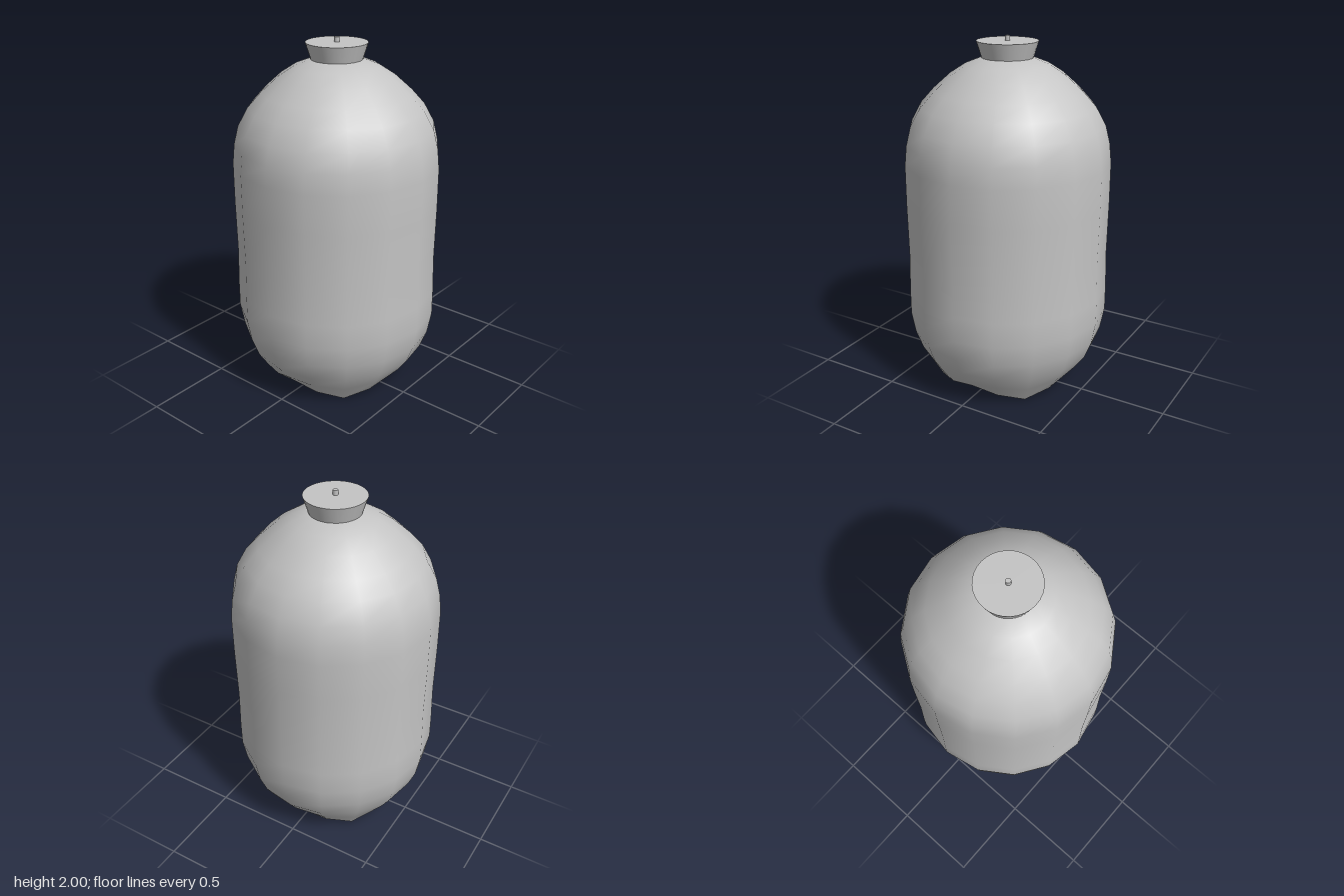
import * as THREE from 'three';

const SIDES = 16;

// Stacks 16-sided rings [radius, height, lobe]; lobe drops the four diagonal feet and lifts the arches between.
function ringSurface(rings) {
  const positions = [], index = [];
  for (const [r, y, lobe = 0] of rings) {
    for (let i = 0; i < SIDES; i++) {
      const a = (i / SIDES) * Math.PI * 2;
      positions.push(r * Math.cos(a), y + lobe * Math.cos(4 * a), r * Math.sin(a));
    }
  }
  for (let j = 0; j < rings.length - 1; j++) {
    for (let i = 0; i < SIDES; i++) {
      const n = (i + 1) % SIDES;
      const a = j * SIDES + i, b = j * SIDES + n;
      const up = a + SIDES, upNext = b + SIDES;
      index.push(a, up, b, b, up, upNext);
    }
  }
  const g = new THREE.BufferGeometry();
  g.setAttribute('position', new THREE.Float32BufferAttribute(positions, 3));
  g.setIndex(index);
  g.computeVertexNormals();
  return g;
}

export function createModel() {
  const model = new THREE.Group();
  const grey = new THREE.MeshStandardMaterial({ color: 0xc4c4c4 });
  grey.name = 'plain grey';

  const add = (name, geometry, y = 0) => {
    const mesh = new THREE.Mesh(geometry, grey);
    mesh.name = name;
    mesh.position.y = y;
    model.add(mesh);
  };

  const rim = [0.395, 0.045, 0.032];

  // Rounded body from the arched rim up to the neck
  add('body', ringSurface([
    rim,
    [0.455, 0.125, 0.012],
    [0.51, 0.21, 0.004],
    [0.55, 0.315],
    [0.573, 0.44],
    [0.573, 0.58],
    [0.568, 0.8],
    [0.573, 1.1],
    [0.573, 1.32],
    [0.562, 1.43],
    [0.537, 1.53],
    [0.482, 1.63],
    [0.41, 1.71],
    [0.315, 1.795],
    [0.23, 1.85],
    [0.14, 1.885],
    [0.001, 1.89],
  ]));

  // Underside sagging gently to the centre
  add('base', ringSurface([
    [0.0005, 0.002],
    [0.1, 0.005],
    [0.24, 0.014, 0.007],
    rim,
  ]));

  // Flared cap with a small pin on top
  add('cap', new THREE.CylinderGeometry(0.168, 0.14, 0.09, 32), 1.928);
  add('capPin', new THREE.CylinderGeometry(0.014, 0.014, 0.04, 12), 1.98);

  return model;
}
